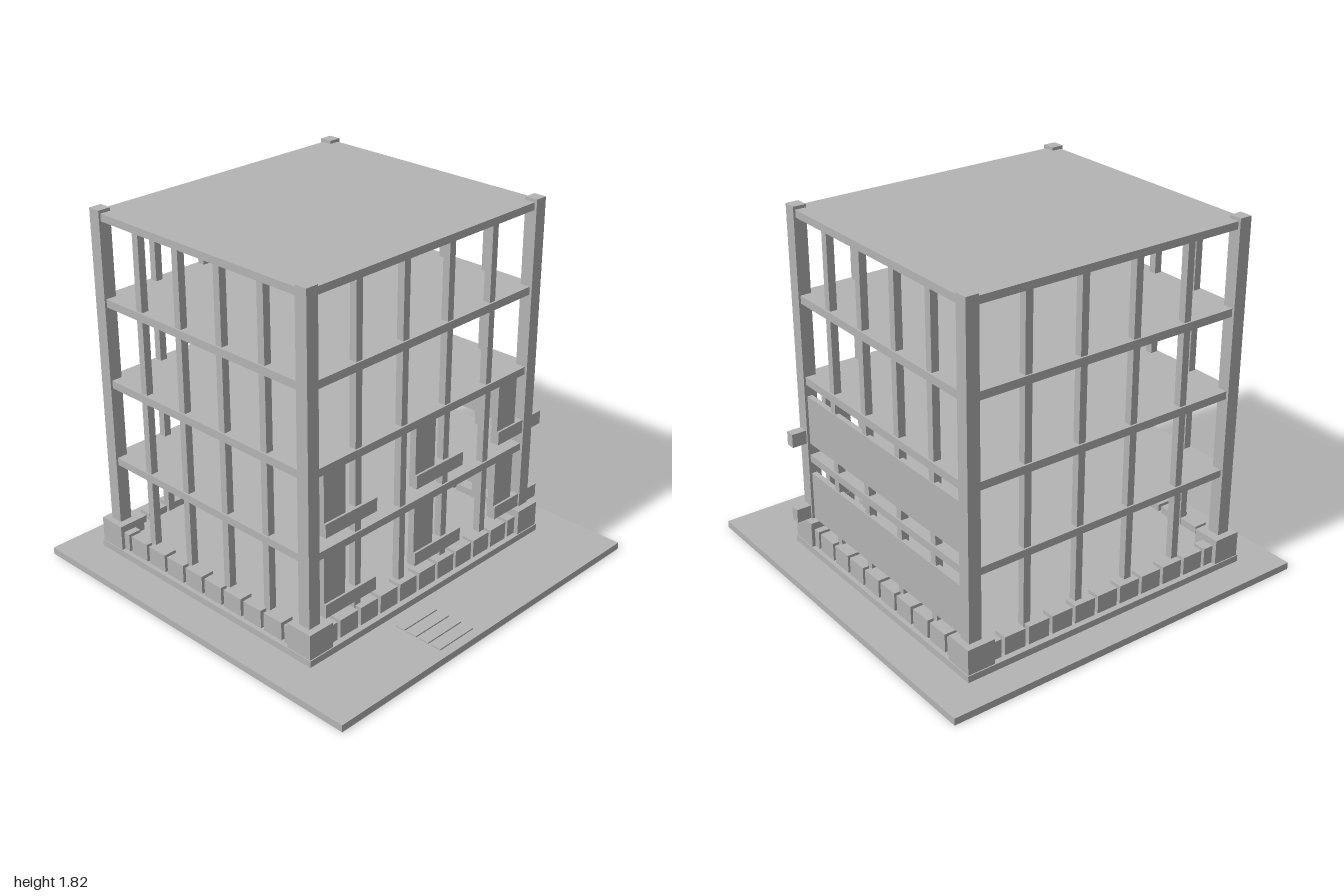
import * as THREE from 'three';

export function createModel() {
  const model = new THREE.Group();
  model.name = 'buildingFrame';
  const concrete = new THREE.MeshStandardMaterial({ color: 0xb4b4b4 });
  concrete.name = 'concrete grey';

  // Box given by its limits on each axis
  function box(name, parent, [x0, x1], [y0, y1], [z0, z1]) {
    const mesh = new THREE.Mesh(new THREE.BoxGeometry(x1 - x0, y1 - y0, z1 - z0), concrete);
    mesh.position.set((x0 + x1) / 2, (y0 + y1) / 2, (z0 + z1) / 2);
    mesh.name = name;
    parent.add(mesh);
    return mesh;
  }
  const around = (c, size) => [c - size / 2, c + size / 2];

  // Ground and walkway strips
  box('ground', model, [-1, 1], [0, 0.036], [-1, 1]);
  for (let i = 0; i < 4; i++) {
    box('walkwayStrip', model, [-0.316, -0.086], [0.034, 0.043], around(0.708 + i * 0.072, 0.055));
  }

  const building = new THREE.Group();
  building.name = 'building';
  building.position.z = -0.107;
  model.add(building);

  // Plinth and floors
  box('plinth', building, [-0.812, 0.812], [0.034, 0.07], [-0.732, 0.732]);
  box('groundFloor', building, [-0.765, 0.765], [0.07, 0.127], [-0.678, 0.678]);
  const floors = [[0.517, 0.555], [0.93, 0.97], [1.345, 1.385], [1.763, 1.8]];
  floors.forEach((y, i) => box(i === 3 ? 'roof' : 'floorSlab', building, [-0.765, 0.765], y, [-0.678, 0.678]));

  // Corner columns on foundation blocks
  for (const sx of [-1, 1]) {
    for (const sz of [-1, 1]) {
      box('cornerBlock', building, around(sx * 0.736, 0.143), [0.07, 0.2], around(sz * 0.655, 0.143));
      box('cornerColumn', building, around(sx * 0.7425, 0.066), [0.2, 1.816], around(sz * 0.658, 0.066));
    }
  }

  // Foundation stones and slender posts on all four sides
  for (const s of [-1, 1]) {
    for (let i = 0; i < 11; i++) {
      box('foundationStone', building, around((i - 5) * 0.1335, 0.115), [0.07, 0.164], around(s * 0.668, 0.07));
    }
    for (let i = 0; i < 10; i++) {
      box('foundationStone', building, around(s * 0.755, 0.07), [0.07, 0.164], around((i - 4.5) * 0.134, 0.115));
    }
    for (let i = 0; i < 4; i++) {
      box('frontBackPost', building, around((i - 1.5) * 0.296, 0.038), [0.127, 1.763], around(s * 0.65, 0.038));
      box('sidePost', building, around(s * 0.737, 0.038), [0.127, 1.763], around((i - 1.5) * 0.267, 0.038));
    }
  }

  // Solid wall bands on one side, L-shaped panels at the front
  for (const [bottom, bandTop, panelTop] of [[0.2, 0.452, 0.517], [0.615, 0.868, 0.93]]) {
    box('sideWallBand', building, [0.735, 0.762], [bottom, bandTop], [-0.63, 0.63]);
    for (let i = 0; i < 3; i++) {
      const x = -0.663 + i * 0.594;
      box('frontPanel', building, [x, x + 0.134], [bottom, panelTop], [0.637, 0.672]);
      box('frontPanelFoot', building, [x, x + 0.327], [bottom, bottom + 0.07], [0.635, 0.683]);
    }
  }
  return model;
}
